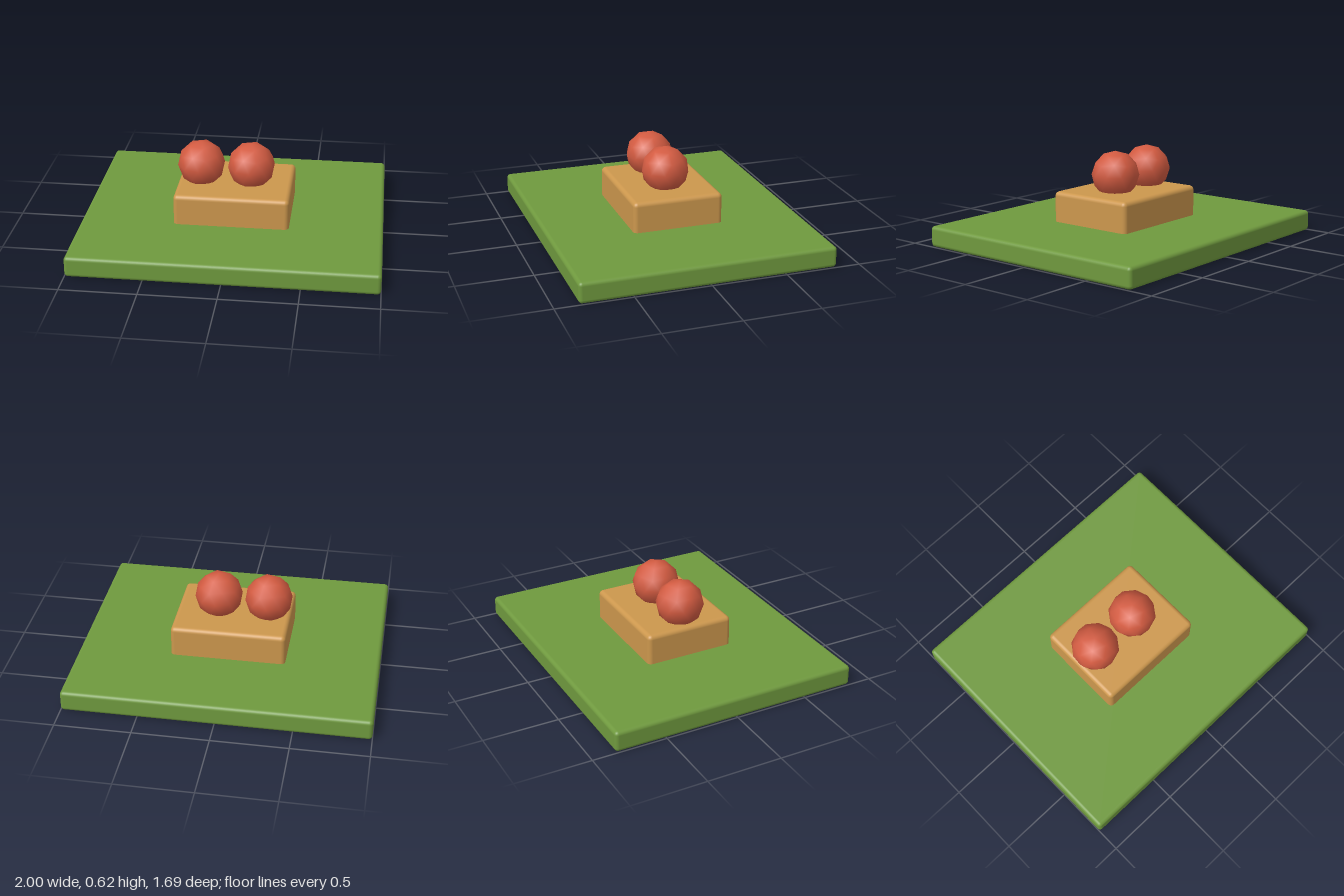
import * as THREE from 'three';
import { RoundedBoxGeometry } from 'three/addons/geometries/RoundedBoxGeometry.js';

export function createModel() {
  const model = new THREE.Group();
  const material = (name, color) => {
    const m = new THREE.MeshStandardMaterial({ color });
    m.name = name;
    return m;
  };
  const green = material('grassGreen', 0x6f993e);
  const tan = material('warmTan', 0xcc974d);
  const red = material('brickRed', 0xd35b41);

  const add = (name, geometry, mat, x, y, z) => {
    const mesh = new THREE.Mesh(geometry, mat);
    mesh.name = name;
    mesh.position.set(x, y, z);
    model.add(mesh);
  };

  // Wide ground slab with softened edges
  add('baseSlab', new RoundedBoxGeometry(2, 0.14, 1.69, 3, 0.025), green, 0, 0.07, 0);

  // Block resting on the slab, sunk slightly so its lower edge reads sharp
  add('block', new RoundedBoxGeometry(0.765, 0.235, 0.61, 3, 0.03), tan, 0, 0.2275, 0);

  // Two low-poly balls, each with a vertex pointing straight up
  const ball = new THREE.IcosahedronGeometry(0.16, 1);
  ball.rotateZ(-Math.atan(2 / (1 + Math.sqrt(5))));
  add('rightBall', ball, red, -0.232, 0.455, 0);
  add('leftBall', ball, red, 0.105, 0.455, 0);

  return model;
}
